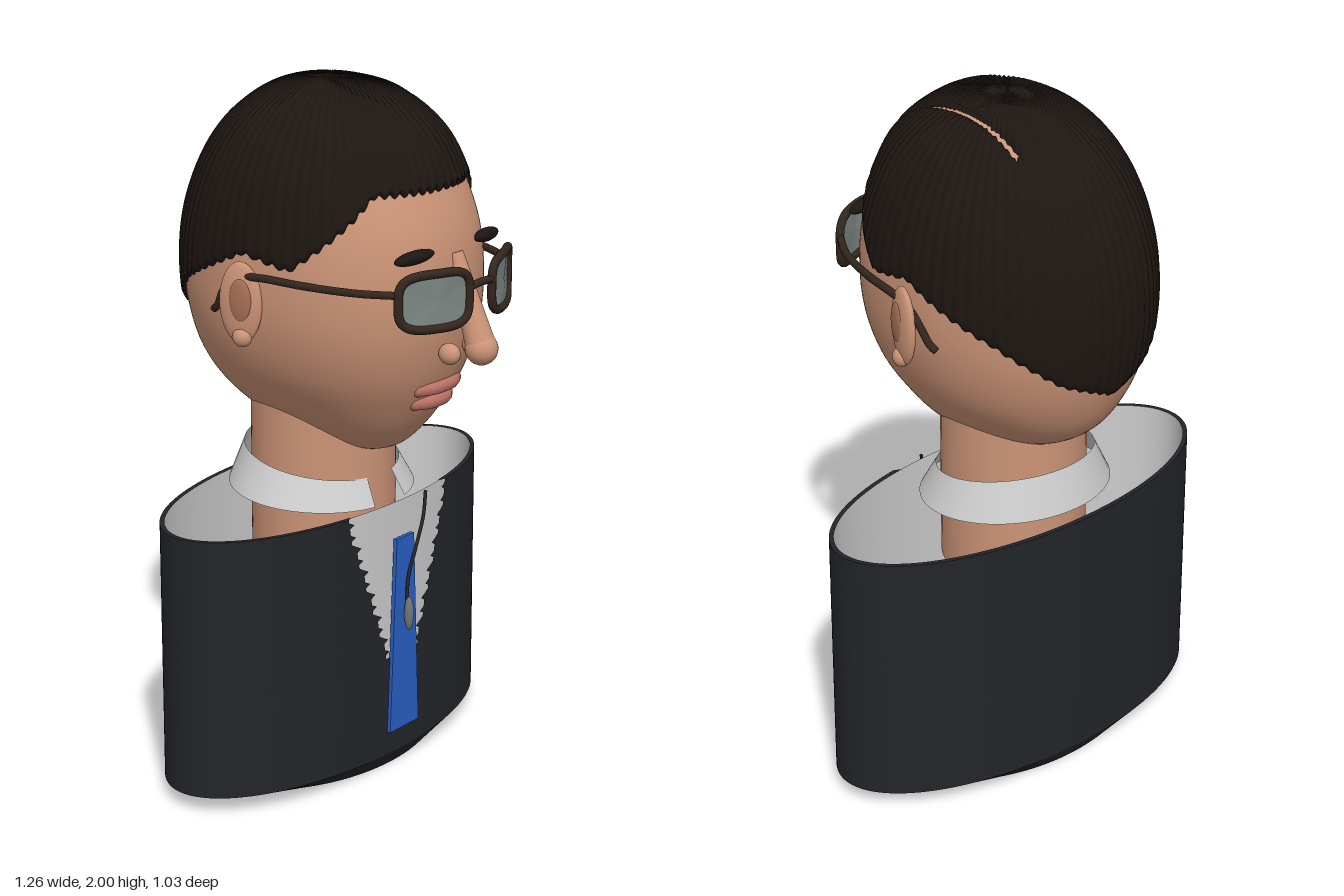
import * as THREE from 'three';

const V = (x, y, z) => new THREE.Vector3(x, y, z);
const { lerp } = THREE.MathUtils;
const mat = (color) => new THREE.MeshStandardMaterial({ color, roughness: 0.8, side: THREE.DoubleSide });
const skin = mat(0xcc9477), hairMat = mat(0x1d1612), cloth = mat(0x222529), white = mat(0xdcdcde);
const frameMat = mat(0x33261e), lensMat = mat(0x7c8783), lipMat = mat(0xbd7266), blue = mat(0x2a5fc4);
const innerEar = mat(0xa87058), grey = mat(0x70747a);

function add(parent, name, geo, material, pos) {
  const m = new THREE.Mesh(geo, material);
  m.name = name;
  if (pos) m.position.set(...pos);
  parent.add(m);
  return m;
}

// Sheet of rows (top to bottom) and columns (front towards +x); closed sheets wrap round
function sheet(rows, cols, closed, point) {
  const pos = [], idx = [], n = closed ? cols : cols + 1;
  for (let r = 0; r < rows; r++) for (let c = 0; c < n; c++) pos.push(...point(r, c / cols).toArray());
  for (let r = 0; r < rows - 1; r++) for (let c = 0; c < cols; c++) {
    const a = r * n + c, b = r * n + (c + 1) % n;
    idx.push(a, a + n, b, b, a + n, b + n);
  }
  const g = new THREE.BufferGeometry();
  g.setAttribute('position', new THREE.Float32BufferAttribute(pos, 3));
  g.setIndex(idx);
  g.computeVertexNormals();
  return g;
}

const tube = (pts, r, closed = false, seg = 48) =>
  new THREE.TubeGeometry(new THREE.CatmullRomCurve3(pts, closed), seg, r, 10, closed);

function ball(rx, ry, rz) {
  return new THREE.SphereGeometry(1, 28, 20).scale(rx, ry, rz);
}

// Head sections every 15 degrees from crown to chin: half width, front z, back z
const sections = new THREE.CatmullRomCurve3([
  [0, -0.05, -0.05], [0.11, 0.1, -0.18], [0.2, 0.2, -0.28], [0.272, 0.285, -0.37], [0.325, 0.335, -0.435],
  [0.355, 0.38, -0.48], [0.365, 0.395, -0.495], [0.352, 0.388, -0.485], [0.308, 0.355, -0.45],
  [0.232, 0.3, -0.385], [0.155, 0.24, -0.26], [0.08, 0.175, -0.08], [0, 0.08, 0.08],
].map((p) => V(...p)), false, 'catmullrom');
const MID = 1.467, HALF = 0.518;

function headPoint(theta, phi) {
  const s = sections.getPoint(phi / Math.PI);
  const zc = -0.05 + 0.13 * THREE.MathUtils.smoothstep(phi, 2.0, Math.PI);
  const sn = Math.sin(theta), cs = Math.cos(theta), e = cs > 0 ? 0.92 : 1;
  return V(Math.sign(sn) * Math.abs(sn) ** e * s.x, MID + HALF * Math.cos(phi),
    zc + Math.sign(cs) * Math.abs(cs) ** e * (cs > 0 ? s.y - zc : zc - s.z));
}

// Hairline height by angle from the front
const hairline = [[0, 1.73], [38, 1.73], [48, 1.67], [74, 1.53], [92, 1.56], [128, 1.44], [155, 1.32], [180, 1.26]];
function hairEdge(theta) {
  const d = Math.abs(theta > Math.PI ? theta - 2 * Math.PI : theta) * 180 / Math.PI;
  const i = Math.max(1, hairline.findIndex((k) => k[0] >= d - 1e-6));
  const [a, b] = [hairline[i - 1], hairline[i]];
  return lerp(a[1], b[1], (d - a[0]) / (b[0] - a[0]));
}

function buildHair() {
  const R = 48, center = V(0, MID, -0.05);
  return sheet(R + 1, 432, true, (r, u) => {
    const theta = u * Math.PI * 2, edge = hairEdge(theta) + 0.006 * Math.cos(72 * theta);
    const p = headPoint(theta, Math.acos((edge - MID) / HALF) * Math.min(1, r / (R - 1)));
    let k = 1.03 + 0.005 * Math.cos(72 * theta) * Math.min(1, r / 12);
    if (p.z > -0.25) k -= 0.05 * Math.exp(-(((p.x - 0.135) / 0.008) ** 2)); // parting
    if (r === R) k = 0.985; // tuck the rim into the head
    return p.sub(center).multiplyScalar(k).add(center);
  });
}

// Point on the elliptical torso, narrowing below y = 0.05
function torsoPoint(theta, y, inset) {
  const t = Math.min(1, y / 0.05);
  return V(Math.sin(theta) * (lerp(0.41, 0.628, t) - inset), y,
    -0.08 + Math.cos(theta) * (lerp(0.26, 0.29, t) - inset));
}

function buildTorso(g) {
  const rows = [[0.81, 0.014], [0.81, 0], [0.81, 0]];
  for (let i = 1; i <= 48; i++) rows.push([0.81 - 0.46 * i / 48, 0]);
  rows.push([0.345, 0], [0.05, 0], [0.05, 0], [0, 0], [0, 0], [0, 0.014]);
  // Jacket with a ragged V opening at the front
  const opening = (y, r) => {
    if (y < 0.35) return 0;
    const step = Math.floor((0.81 - y) / 0.077 + 1e-6) * 0.077;
    return 0.225 - 0.36 * lerp(step, 0.81 - y, 0.45) + (r % 4 === 0 ? -0.018 : 0);
  };
  add(g, 'jacket', sheet(rows.length, 128, false, (r, u) => {
    const [y, inset] = rows[r], a = Math.asin(opening(y, r) / 0.628);
    return torsoPoint(lerp(a, Math.PI * 2 - a, u), y, inset);
  }), cloth);
  const ys = [0.809, 0.4, 0.05, 0.05, 0.001];
  add(g, 'shirt', sheet(ys.length, 96, true, (r, u) => torsoPoint(u * Math.PI * 2, ys[r], 0.012)), white);
  // Tilted collar, open at the front
  add(g, 'collar', sheet(2, 64, false, (r, u) => {
    const a = lerp(0.24, Math.PI * 2 - 0.24, u), c = Math.cos(a);
    return r ? V(0.285 * Math.sin(a), 0.815 - 0.018 * c, -0.085 + 0.255 * c)
      : V(0.232 * Math.sin(a), 0.912 - 0.039 * c, -0.085 + 0.215 * c);
  }), white);

  const tie = new THREE.Shape([[-0.04, 0.705], [-0.067, 0.12], [0.067, 0.12], [0.04, 0.705]]
    .map((p) => new THREE.Vector2(...p)));
  add(g, 'tie', new THREE.ExtrudeGeometry(tie, { depth: 0.012, bevelEnabled: false }), blue, [0, 0, 0.207]);
  add(g, 'cord', tube([V(0.108, 0.81, 0.208), V(0.09, 0.74, 0.214), V(0.04, 0.655, 0.224),
    V(0.005, 0.58, 0.226), V(-0.006, 0.5, 0.23)], 0.005), cloth);
  add(g, 'pendant', ball(0.014, 0.05, 0.014), grey, [-0.004, 0.475, 0.236]);
}

function buildFace(g) {
  add(g, 'head', sheet(49, 96, true, (r, u) => headPoint(u * Math.PI * 2, r / 48 * Math.PI)), skin);
  add(g, 'hair', buildHair(), hairMat);
  add(g, 'neck', new THREE.CylinderGeometry(0.208, 0.208, 0.55, 48), skin, [0, 0.865, -0.078]);

  // Nose: leaning tapered bridge, round tip and nostrils
  const top = V(0, 1.56, 0.38), tip = V(0, 1.305, 0.472), dir = top.clone().sub(tip);
  const bridge = add(g, 'noseBridge', new THREE.CylinderGeometry(0.022, 0.043, dir.length(), 24), skin);
  bridge.position.copy(top).add(tip).multiplyScalar(0.5);
  bridge.quaternion.setFromUnitVectors(V(0, 1, 0), dir.normalize());
  add(g, 'noseTip', ball(0.046, 0.046, 0.046), skin, tip.toArray());

  // Lips follow the curve of the mouth
  for (const [name, y, z, w, r] of [['upperLip', 1.178, 0.345, 0.085, 0.02], ['lowerLip', 1.133, 0.325, 0.072, 0.021]]) {
    add(g, name, tube([V(-w, y, z - 0.025), V(-w / 2, y, z - 0.004), V(0, y, z), V(w / 2, y, z - 0.004),
      V(w, y, z - 0.025)], r), lipMat);
    for (const s of [-1, 1]) add(g, name + 'End', ball(r * 0.8, r, r), lipMat, [s * w, y, z - 0.025]);
  }

  for (const s of [-1, 1]) {
    const side = s > 0 ? 'left' : 'right';
    add(g, side + 'Nostril', ball(0.027, 0.03, 0.032), skin, [s * 0.055, 1.29, 0.405]);
    const brow = add(g, side + 'Brow', ball(0.07, 0.019, 0.02), hairMat, [s * 0.165, 1.575, 0.365]);
    brow.rotation.set(0, s * 0.2, -s * 0.06);

    // Ear with inner hollow and lobe
    const ear = new THREE.Group();
    ear.name = side + 'Ear';
    ear.position.set(s * 0.378, 1.425, -0.062);
    ear.rotation.set(0, -s * 0.25, 0);
    add(ear, 'earShell', ball(0.022, 0.115, 0.064), skin);
    add(ear, 'earHollow', ball(0.01, 0.06, 0.033), innerEar, [s * 0.017, 0.01, 0.006]);
    add(ear, 'earLobe', ball(0.024, 0.028, 0.028), skin, [s * 0.006, -0.095, 0.006]);
    g.add(ear);
  }
}

function buildGlasses(g) {
  const bend = (x) => 0.47 - 1.45 * x * x; // frames wrap round the face
  for (const s of [-1, 1]) {
    const side = s > 0 ? 'left' : 'right', rim = [];
    for (let i = 0; i < 40; i++) {
      const a = i / 40 * Math.PI * 2, c = Math.cos(a), n = Math.sin(a);
      const x = s * (0.152 + 0.1 * Math.sign(c) * Math.abs(c) ** 0.55);
      rim.push(V(x, 1.465 + 0.076 * Math.sign(n) * Math.abs(n) ** 0.55, bend(x)));
    }
    add(g, side + 'Rim', tube(rim, 0.0125, true, 80), frameMat);
    const mid = V(s * 0.152, 1.465, bend(0.152));
    add(g, side + 'Lens', sheet(2, 40, true, (r, u) => (r ? rim[Math.round(u * 40) % 40] : mid).clone()), lensMat);
    // Temple arm hooking behind the ear
    add(g, side + 'Temple', tube([V(s * 0.25, 1.49, 0.378), V(s * 0.305, 1.492, 0.28), V(s * 0.35, 1.497, 0.13),
      V(s * 0.374, 1.503, 0), V(s * 0.378, 1.495, -0.07), V(s * 0.375, 1.45, -0.125),
      V(s * 0.365, 1.4, -0.155), V(s * 0.358, 1.385, -0.175)], 0.011), frameMat);
  }
  add(g, 'bridge', tube([V(-0.055, 1.488, 0.466), V(0, 1.494, 0.472), V(0.055, 1.488, 0.466)], 0.011), frameMat);
}

export function createModel() {
  const model = new THREE.Group();
  model.name = 'bust';
  for (const [name, build] of [['torso', buildTorso], ['headGroup', buildFace], ['glasses', buildGlasses]]) {
    const g = new THREE.Group();
    g.name = name;
    build(g);
    model.add(g);
  }
  return model;
}
